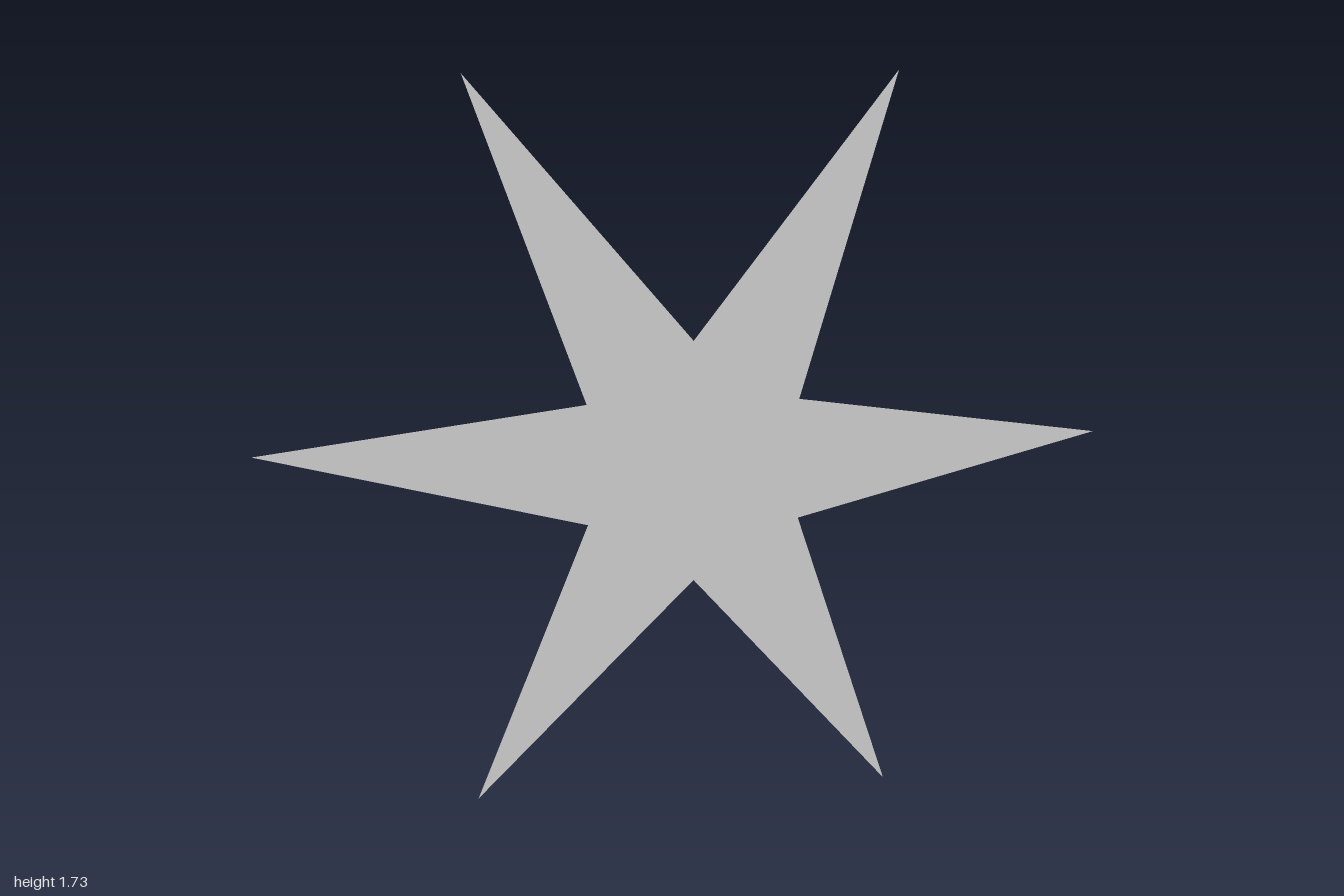
import * as THREE from 'three';

const ARMS = 6;
const INNER = 0.28;   // radius of the notches between arms
const OUTER = 1;      // radius of the tips
const FRONT = 0.09;   // depth of the hub; the tips bend back to -FRONT

export function createModel() {
  const group = new THREE.Group();
  group.name = 'bentStar';

  const paleGrey = new THREE.MeshStandardMaterial({ color: 0xe0e0e0, side: THREE.DoubleSide });
  paleGrey.name = 'paleGrey';

  // Hub point, then tips and notches alternating around the rim
  const count = ARMS * 2;
  const positions = [0, 0, FRONT];
  const normals = [0, 0, 1];
  const indices = [];
  for (let i = 0; i < count; i++) {
    const isTip = i % 2 === 0;
    const radius = isTip ? OUTER : INNER;
    const angle = (i / count) * Math.PI * 2;
    positions.push(Math.cos(angle) * radius, Math.sin(angle) * radius, isTip ? -FRONT : FRONT);
    normals.push(0, 0, 1); // one even shade over the whole sheet
    indices.push(0, 1 + i, 1 + ((i + 1) % count));
  }

  const geometry = new THREE.BufferGeometry();
  geometry.setAttribute('position', new THREE.Float32BufferAttribute(positions, 3));
  geometry.setAttribute('normal', new THREE.Float32BufferAttribute(normals, 3));
  geometry.setIndex(indices);

  // Thin folded star, resting on its two lower tips
  const star = new THREE.Mesh(geometry, paleGrey);
  star.name = 'starSheet';
  star.position.y = Math.sin(Math.PI / 3) * OUTER;
  group.add(star);

  return group;
}
